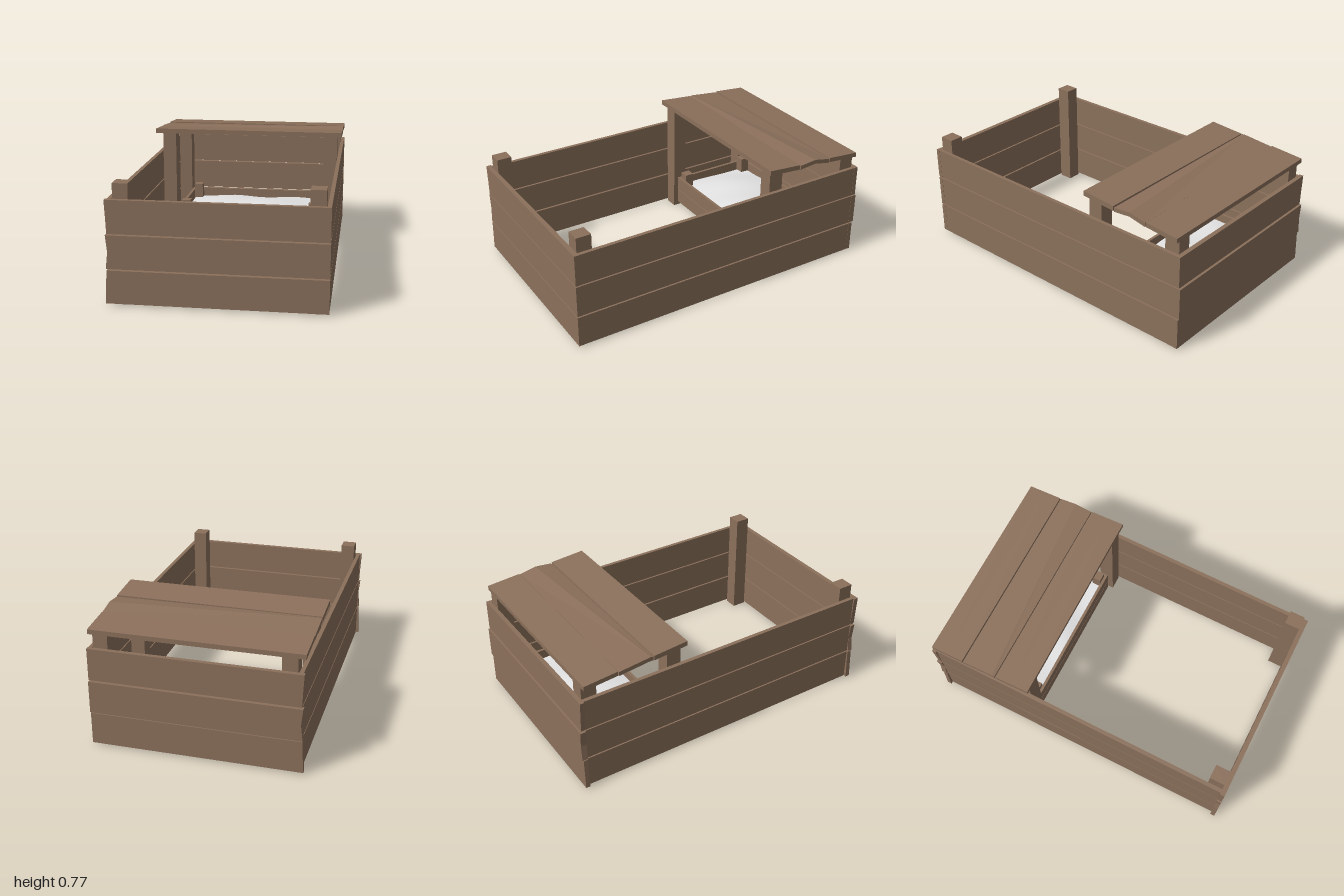
import * as THREE from 'three';

const wood = new THREE.MeshStandardMaterial({ color: 0x8b705b });
wood.name = 'brown wood';
const cloth = new THREE.MeshStandardMaterial({ color: 0xe4e4e4 });
cloth.name = 'white cloth';

function add(parent, name, geometry, material = wood) {
  const mesh = new THREE.Mesh(geometry, material);
  mesh.name = name;
  parent.add(mesh);
  return mesh;
}

// Box given by its lower and upper limits on each axis
function box(parent, name, x0, x1, y0, y1, z0, z1) {
  const mesh = add(parent, name, new THREE.BoxGeometry(x1 - x0, y1 - y0, z1 - z0));
  mesh.position.set((x0 + x1) / 2, (y0 + y1) / 2, (z0 + z1) / 2);
  return mesh;
}

// Upright board whose left end is cut unevenly at bottom, middle and top
function roughBoard(parent, name, ends, y0, y1, z0, z1) {
  const [bottom, middle, top] = ends;
  const shape = new THREE.Shape([
    new THREE.Vector2(bottom, y0), new THREE.Vector2(0.621, y0),
    new THREE.Vector2(0.621, y1), new THREE.Vector2(top, y1),
    new THREE.Vector2(middle, (y0 + y1) / 2),
  ]);
  const geometry = new THREE.ExtrudeGeometry(shape, { depth: z1 - z0, bevelEnabled: false });
  geometry.translate(0, 0, z0);
  add(parent, name, geometry);
}

// Warped plank running along x; each end has front, ridge and back top points [z, y]
function roofPlank(parent, name, leftEnd, rightEnd, thickness) {
  const section = (x, top) => [
    ...top.map(([z, y]) => [x, y, z]),
    ...top.slice().reverse().map(([z, y]) => [x, y - thickness, z]),
  ];
  const L = section(-0.622, leftEnd), R = section(0.62, rightEnd);
  const points = [];
  const quad = (a, b, c, d) => points.push(...a, ...b, ...c, ...a, ...c, ...d);
  for (let i = 0; i < 6; i++) {
    const j = (i + 1) % 6;
    quad(L[i], R[i], R[j], L[j]);
  }
  for (const [a, b, c, d] of [[0, 1, 4, 5], [1, 2, 3, 4]]) {
    quad(L[a], L[b], L[c], L[d]);
    quad(R[d], R[c], R[b], R[a]);
  }
  const geometry = new THREE.BufferGeometry();
  geometry.setAttribute('position', new THREE.Float32BufferAttribute(points, 3));
  geometry.computeVertexNormals();
  add(parent, name, geometry);
}

export function createModel() {
  const model = new THREE.Group();
  model.name = 'woodenPen';

  // Outer walls: three boards high on all four sides
  const walls = new THREE.Group();
  walls.name = 'walls';
  model.add(walls);
  const rows = [
    { y0: 0.012, y1: 0.206, ends: [-0.627, -0.622, -0.617], back: -0.992 },
    { y0: 0.215, y1: 0.41, ends: [-0.62, -0.609, -0.619], back: -1.0 },
    { y0: 0.418, y1: 0.612, ends: [-0.61, -0.614, -0.619], back: -0.992 },
  ];
  for (const { y0, y1, ends, back } of rows) {
    roughBoard(walls, 'frontBoard', ends, y0, y1, 0.968, 0.997);
    roughBoard(walls, 'backBoard', ends, y0, y1, back, -0.965);
    box(walls, 'leftBoard', 0.597, 0.62, y0, y1, -0.965, 0.968);
    box(walls, 'rightBoard', -0.609, -0.585, y0, y1, -0.965, 0.968);
  }

  // Posts: low at the front, taller where they carry the roof
  const posts = [
    ['frontPost', 0.875, 0.968, 0.70],
    ['middlePost', -0.412, -0.32, 0.738],
    ['backPost', -0.963, -0.868, 0.70],
  ];
  for (const [name, z0, z1, height] of posts) {
    box(model, name, 0.505, 0.592, 0, height, z0, z1);
    box(model, name, -0.578, -0.49, 0, height, z0, z1);
  }

  // Sloping roof of three planks, the middle one warped along a diagonal ridge
  const roof = new THREE.Group();
  roof.name = 'roof';
  model.add(roof);
  const frontEnd = [[-0.302, 0.77], [-0.41, 0.761], [-0.522, 0.752]];
  roofPlank(roof, 'frontPlank', frontEnd, frontEnd, 0.03);
  roofPlank(roof, 'middlePlank',
    [[-0.528, 0.75], [-0.545, 0.753], [-0.748, 0.732]],
    [[-0.528, 0.745], [-0.64, 0.756], [-0.748, 0.734]], 0.026);
  const backEnd = [[-0.753, 0.738], [-0.86, 0.729], [-0.967, 0.72]];
  roofPlank(roof, 'backPlank', backEnd, backEnd, 0.028);

  // Small low bed under the roof
  const bed = new THREE.Group();
  bed.name = 'bed';
  model.add(bed);
  box(bed, 'bedFloor', -0.48, 0.48, 0.025, 0.045, -0.94, -0.35);
  for (const [y0, y1] of [[0.03, 0.122], [0.128, 0.22]]) {
    box(bed, 'bedFrontBoard', -0.485, 0.485, y0, y1, -0.365, -0.347);
    box(bed, 'bedBackBoard', -0.485, 0.485, y0, y1, -0.92, -0.902);
    for (const s of [-1, 1]) {
      box(bed, 'bedSideBoard', s * 0.476 - 0.009, s * 0.476 + 0.009, y0, y1, -0.902, -0.365);
    }
  }
  for (const x of [-0.437, 0.437]) {
    for (const z of [-0.395, -0.872]) {
      box(bed, 'bedPost', x - 0.03, x + 0.03, 0.03, 0.262, z - 0.03, z + 0.03);
    }
  }

  // Soft cushion with a gently rumpled top
  const cushion = new THREE.BoxGeometry(0.92, 0.1, 0.53, 16, 1, 10);
  const p = cushion.attributes.position;
  for (let i = 0; i < p.count; i++) {
    if (p.getY(i) < 0) continue;
    const x = p.getX(i), z = p.getZ(i);
    const dome = Math.cos(x * 3.3) * Math.cos(z * 5.6);
    p.setY(i, 0.05 + 0.035 * dome + 0.006 * Math.sin(x * 14 + z * 9));
  }
  cushion.computeVertexNormals();
  add(bed, 'cushion', cushion, cloth).position.set(0, 0.115, -0.634);

  return model;
}
